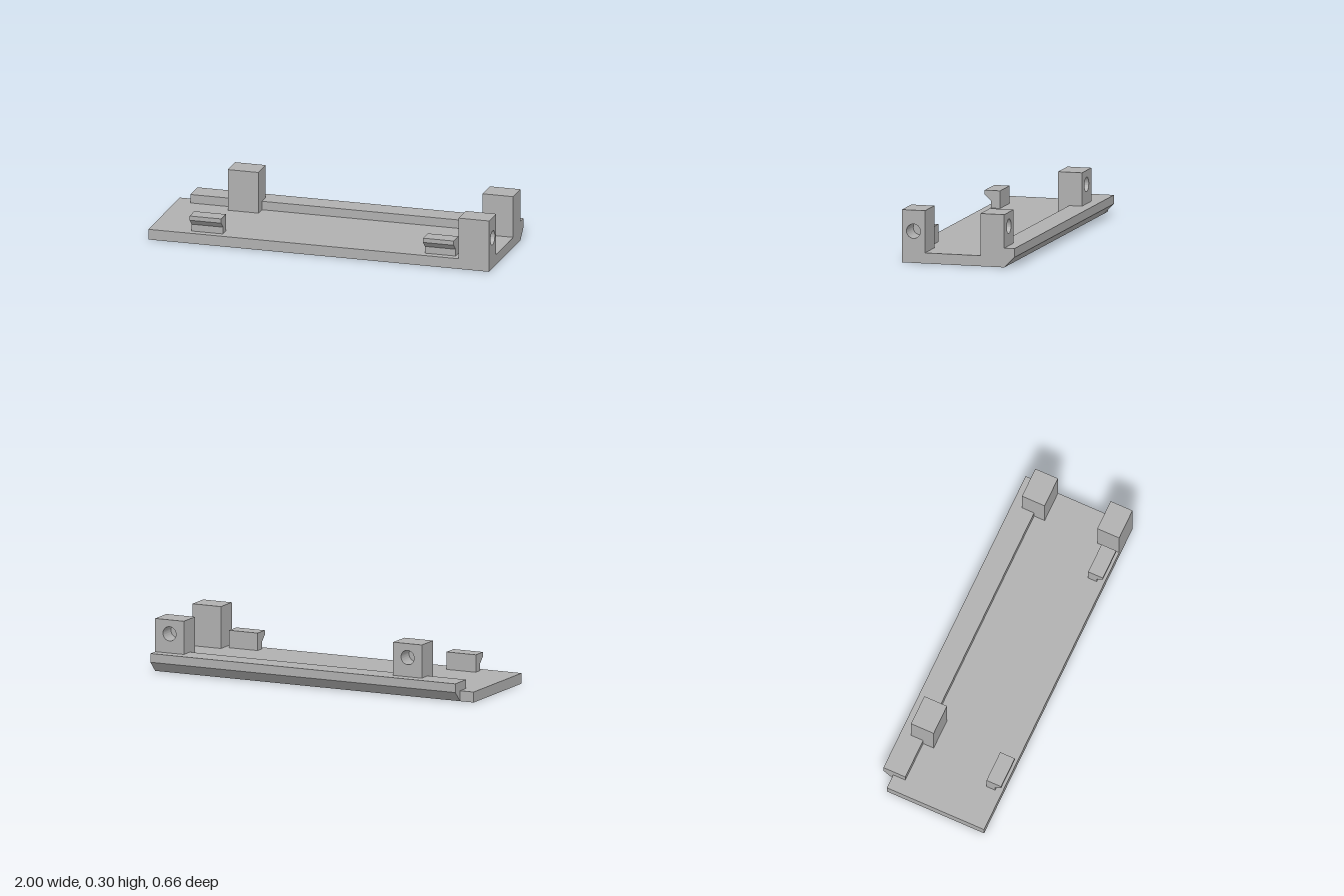
import * as THREE from 'three';
import { toCreasedNormals } from 'three/addons/utils/BufferGeometryUtils.js';

const grey = new THREE.MeshStandardMaterial({ color: 0xb0b0b0 });
grey.name = 'plain grey';

function part(name, geometry, parent) {
  const mesh = new THREE.Mesh(geometry, grey);
  mesh.name = name;
  parent.add(mesh);
  return mesh;
}

// Box given by its limits on each axis
function box(name, [x0, x1], [y0, y1], [z0, z1], parent) {
  const mesh = part(name, new THREE.BoxGeometry(x1 - x0, y1 - y0, z1 - z0), parent);
  mesh.position.set((x0 + x1) / 2, (y0 + y1) / 2, (z0 + z1) / 2);
  return mesh;
}

// Profile of [z, y] points swept along x from x0 to x1
function sweepX(name, points, x0, x1, parent) {
  const shape = new THREE.Shape(points.map(([z, y]) => new THREE.Vector2(z, y)));
  const geometry = new THREE.ExtrudeGeometry(shape, { depth: x1 - x0, bevelEnabled: false });
  geometry.rotateY(-Math.PI / 2).translate(x1, 0, 0);
  return part(name, geometry, parent);
}

// Block standing on y = 0 behind its +z face, which has a blind round hole
function drilledBlock(name, width, height, depth, holeY, holeDepth, parent) {
  const group = new THREE.Group();
  group.name = name;
  const w = width / 2;
  const shape = new THREE.Shape([[-w, 0], [w, 0], [w, height], [-w, height]].map(p => new THREE.Vector2(...p)));
  shape.holes.push(new THREE.Path().absarc(0, holeY, 0.041, 0, Math.PI * 2, true));
  const slab = new THREE.ExtrudeGeometry(shape, { depth: holeDepth, bevelEnabled: false, curveSegments: 32 });
  slab.translate(0, 0, -holeDepth);
  part('drilledFace', toCreasedNormals(slab, 0.6), group);
  box('solidBacking', [-w, w], [0, height], [-depth, -holeDepth], group);
  parent.add(group);
  return group;
}

export function createModel() {
  const model = new THREE.Group();
  model.name = 'mountingPlate';

  box('basePlate', [-1, 1], [0, 0.06], [-0.27, 0.33], model);

  // Raised rear rail with a chamfered underside
  sweepX('rearRail', [
    [-0.27, 0], [-0.27, 0.06], [-0.195, 0.06], [-0.195, 0.11], [-0.33, 0.11], [-0.33, 0.06],
  ], -0.915, 1, model);

  // Rear posts straddle the rail, drilled from behind
  for (const x of [-0.585, 0.91]) {
    const post = drilledBlock('rearPost', 0.18, 0.19, 0.14, 0.11, 0.1, model);
    post.rotation.y = Math.PI;
    post.position.set(x, 0.11, -0.27);
    box('rearPostFoot', [x - 0.09, x + 0.09], [0.06, 0.11], [-0.195, -0.13], model);
  }

  // Front corner post, drilled from the side
  const frontPost = drilledBlock('frontPost', 0.135, 0.24, 0.18, 0.12, 0.13, model);
  frontPost.rotation.y = Math.PI / 2;
  frontPost.position.set(1, 0.06, 0.2625);

  // Hooked clips along the front edge
  for (const [x0, x1] of [[-0.76, -0.575], [0.61, 0.79]]) {
    sweepX('frontClip', [
      [0.235, 0.06], [0.288, 0.06], [0.288, 0.1], [0.325, 0.135], [0.325, 0.16], [0.235, 0.16],
    ], x0, x1, model);
  }

  return model;
}
